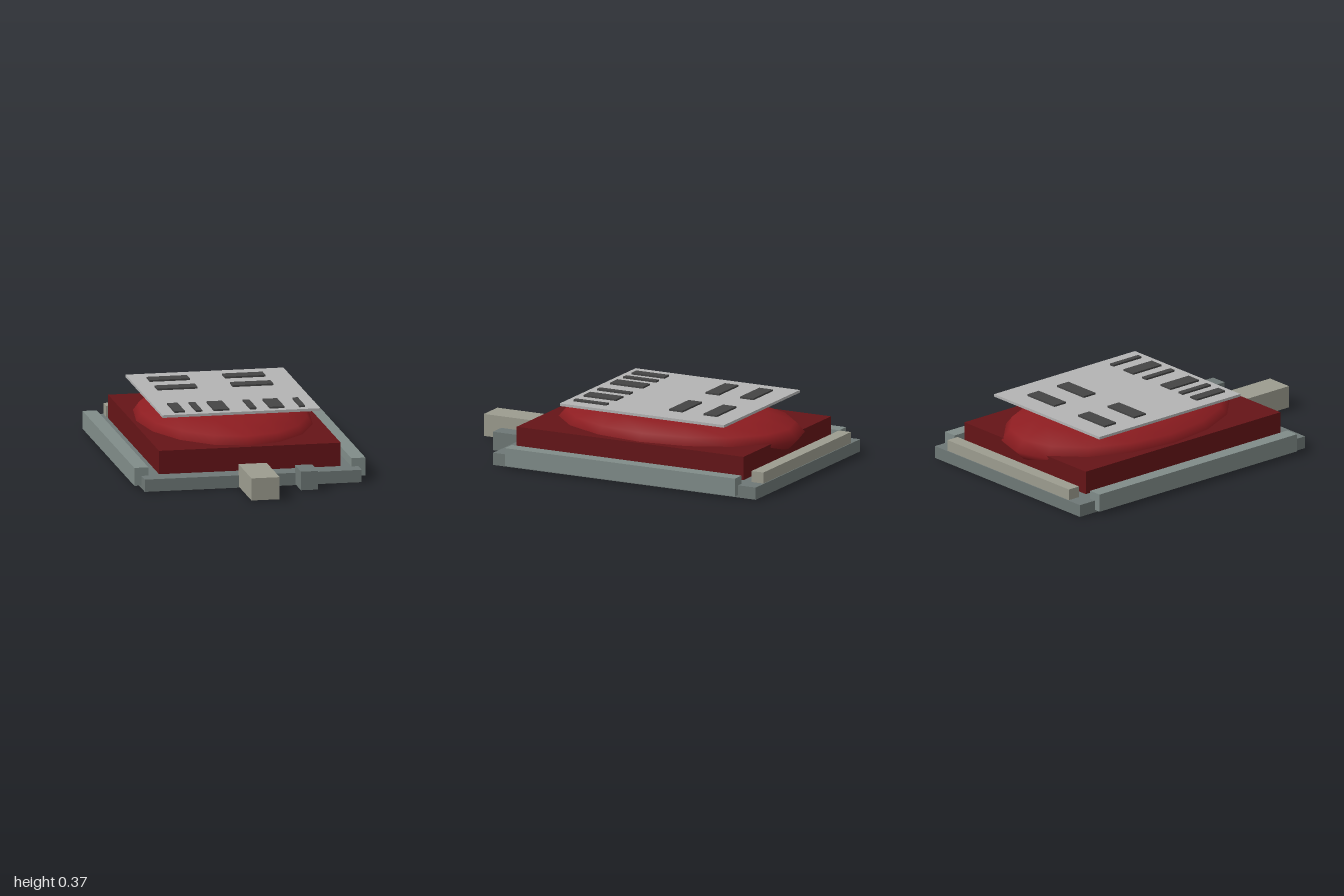
import * as THREE from 'three';

const paint = (color) => new THREE.MeshStandardMaterial({ color });
const slate = paint(0x6e7876);
const paleSlate = paint(0x808c89);
const stone = paint(0x9c9c8f);
const darkRed = paint(0x651417);
const red = paint(0x8c1c20);
const silver = paint(0xb4b4b4);
const charcoal = paint(0x444444);

// Box given by its [min, max] range on each axis
function block(name, material, [x0, x1], [y0, y1], [z0, z1]) {
  const geometry = new THREE.BoxGeometry(x1 - x0, y1 - y0, z1 - z0);
  const mesh = new THREE.Mesh(geometry, material);
  mesh.position.set((x0 + x1) / 2, (y0 + y1) / 2, (z0 + z1) / 2);
  mesh.name = name;
  return mesh;
}

export function createModel() {
  const model = new THREE.Group();
  model.name = 'panelDevice';

  // Base tray with side rails and a back bar
  model.add(block('base', slate, [-0.615, 0.615], [0, 0.07], [-1, 0.655]));
  model.add(block('leftRail', paleSlate, [0.575, 0.655], [0.015, 0.117], [-0.89, 0.56]));
  model.add(block('rightRail', paleSlate, [-0.655, -0.575], [0.015, 0.117], [-0.89, 0.56]));
  model.add(block('backBar', stone, [-0.515, 0.515], [0.06, 0.133], [-0.995, -0.92]));

  // Tabs on the front edge
  model.add(block('frontTab', stone, [-0.08, 0.08], [0.004, 0.13], [0.635, 1]));
  model.add(block('smallFrontTab', slate, [0.24, 0.338], [0.004, 0.11], [0.635, 0.805]));

  // Red body with a coarse ellipsoid cushion
  model.add(block('body', darkRed, [-0.515, 0.515], [0.075, 0.208], [-0.87, 0.56]));
  const dome = new THREE.Mesh(new THREE.SphereGeometry(1, 16, 8), red);
  dome.name = 'dome';
  dome.scale.set(0.5, 0.145, 0.737);
  dome.position.set(0, 0.195, -0.198);
  model.add(dome);

  // Thin top plate with raised dark keys
  model.add(block('topPlate', silver, [-0.447, 0.447], [0.34, 0.355], [-0.71, 0.325]));
  const keys = new THREE.Group();
  keys.name = 'keys';
  const keyHeight = [0.353, 0.365];
  for (const z of [[-0.59, -0.505], [-0.373, -0.288]]) {
    for (const x of [[-0.352, -0.124], [0.075, 0.305]]) {
      keys.add(block('wideKey', charcoal, x, keyHeight, z));
    }
  }
  const strips = [
    [-0.37, -0.312], [-0.249, -0.213], [-0.147, -0.06],
    [0.058, 0.095], [0.17, 0.253], [0.339, 0.37],
  ];
  for (const x of strips) keys.add(block('stripKey', charcoal, x, keyHeight, [0.073, 0.28]));
  model.add(keys);

  return model;
}
